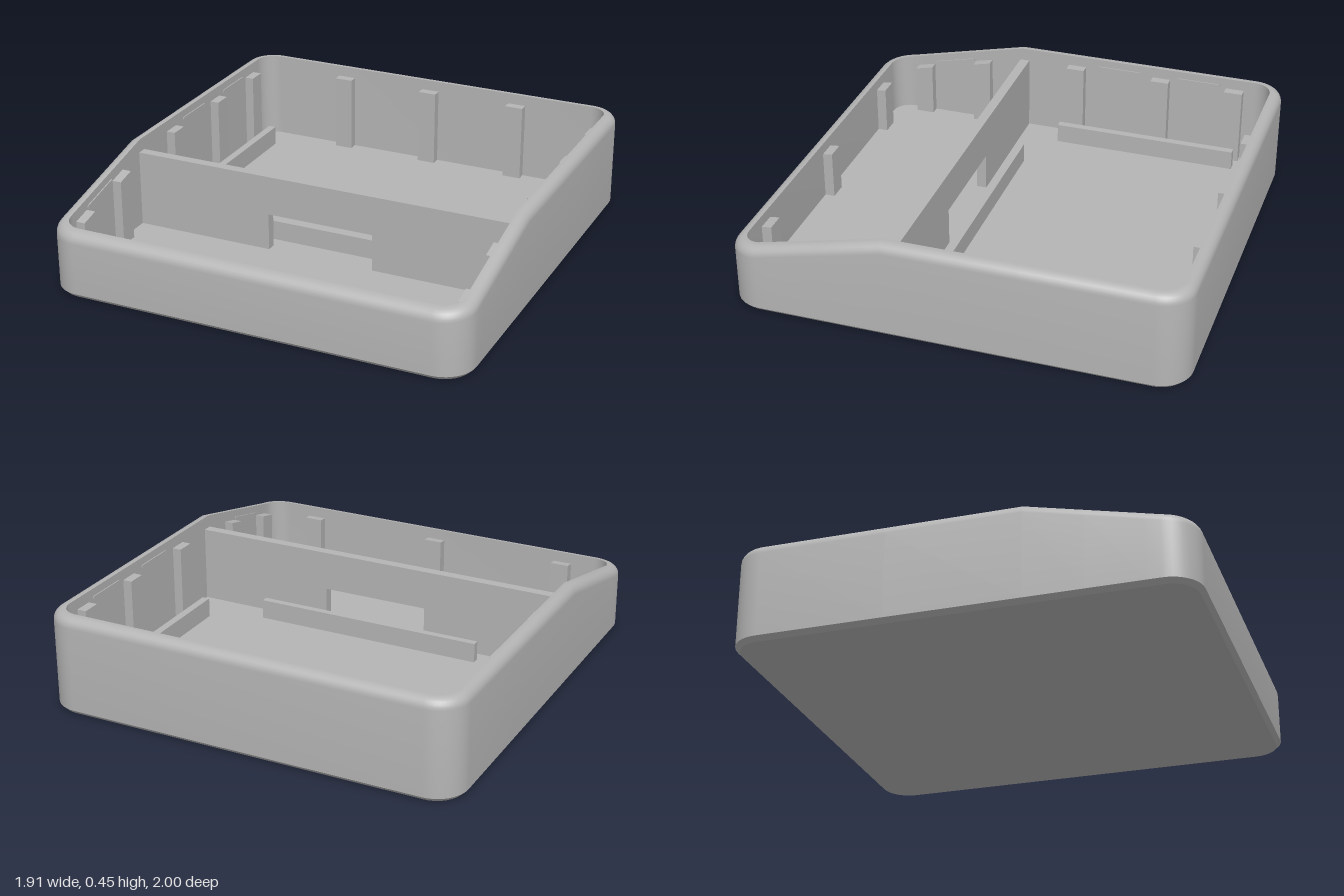
import * as THREE from 'three';
import { toCreasedNormals } from 'three/addons/utils/BufferGeometryUtils.js';

const W = 0.955, D = 1, R = 0.14, WALL = 0.055, FLOOR = 0.04;

// Height of the rim along the case: flat at the back, sloping to a low front lip
function rim(z) {
  if (z < 0.29) return 0.45;
  if (z < 0.87) return 0.45 - (z - 0.29) * 0.233;
  return 0.315 - (z - 0.87) * 0.115;
}

// Rounded rectangle pulled in by an inset, with extra points where the rim bends
function outline(inset) {
  const pts = [], r = R - inset, n = 10;
  const corner = (sx, sz, start) => {
    for (let i = 0; i <= n; i++) {
      const a = start + (i / n) * Math.PI / 2;
      pts.push([sx * (W - R) + r * Math.cos(a), sz * (D - R) + r * Math.sin(a)]);
    }
  };
  const bends = [0.8, 0.55, 0.29, -0.3];
  corner(1, 1, 0);
  corner(-1, 1, Math.PI / 2);
  bends.forEach(z => pts.push([-W + inset, z]));
  corner(-1, -1, Math.PI);
  corner(1, -1, Math.PI * 1.5);
  [...bends].reverse().forEach(z => pts.push([W - inset, z]));
  return pts;
}

// Tray skin: underside, chamfer, outer wall, rounded rim, inner wall, floor
function trayGeometry() {
  const rings = [];
  const add = (inset, height) => rings.push(outline(inset).map(([x, z]) => [x, height(z), z]));
  add(0.02, () => 0);
  add(0, () => 0.02);
  const f = 0.045;
  for (let i = 0; i <= 6; i++) {
    const a = (i / 6) * Math.PI / 2;
    add(f * (1 - Math.cos(a)), z => rim(z) - f * (1 - Math.sin(a)));
  }
  add(WALL, rim);
  add(WALL, () => FLOOR);
  const n = rings[0].length;
  const pos = [], tri = (a, b, c) => pos.push(...a, ...b, ...c);
  for (let k = 0; k < rings.length - 1; k++) {
    for (let i = 0; i < n; i++) {
      const j = (i + 1) % n, lo = rings[k], hi = rings[k + 1];
      tri(lo[i], hi[i], hi[j]);
      tri(lo[i], hi[j], lo[j]);
    }
  }
  const last = rings[rings.length - 1];
  for (let i = 0; i < n; i++) {
    const j = (i + 1) % n;
    tri([0, 0, 0], rings[0][i], rings[0][j]);
    tri([0, FLOOR, 0], last[j], last[i]);
  }
  const g = new THREE.BufferGeometry();
  g.setAttribute('position', new THREE.Float32BufferAttribute(pos, 3));
  return toCreasedNormals(g, 0.6);
}

export function createModel() {
  const group = new THREE.Group();
  const grey = new THREE.MeshStandardMaterial({ color: 0xb4b4b4 });
  grey.name = 'plain grey';

  const mesh = (name, geometry) => {
    const m = new THREE.Mesh(geometry, grey);
    m.name = name;
    group.add(m);
    return m;
  };
  // Box from its bounds; the top may follow the slope of the rim
  const block = (name, x0, x1, y0, y1, z0, z1, topRule) => {
    const g = new THREE.BoxGeometry(x1 - x0, y1 - y0, z1 - z0);
    g.translate((x0 + x1) / 2, (y0 + y1) / 2, (z0 + z1) / 2);
    if (topRule) {
      const p = g.attributes.position;
      for (let i = 0; i < p.count; i++) p.setY(i, topRule(p.getZ(i), p.getY(i) > (y0 + y1) / 2));
      g.computeVertexNormals();
    }
    return mesh(name, g);
  };
  const postTop = (z, top) => (top ? rim(z) - 0.05 : FLOOR);

  mesh('tray', trayGeometry());

  // Cross divider with a doorway down to the floor
  const wall = new THREE.Shape();
  [[-0.9, FLOOR], [-0.25, FLOOR], [-0.25, 0.21], [0.25, 0.21], [0.25, FLOOR], [0.9, FLOOR], [0.9, 0.39], [-0.9, 0.39]]
    .forEach(([x, y], i) => (i ? wall.lineTo(x, y) : wall.moveTo(x, y)));
  const divider = new THREE.ExtrudeGeometry(wall, { depth: 0.045, bevelEnabled: false });
  mesh('divider', divider.translate(0, 0, 0.255));

  // Low ribs on the floor
  block('crossRib', -0.54, 0.54, FLOOR, 0.13, 0.165, 0.197);
  for (const s of [-1, 1]) {
    const x = s * 0.7925;
    block('sideRib', x - 0.0175, x + 0.0175, FLOOR, 0.13, -0.795, 0.068);

    // Support posts along the side walls
    for (const z of [-0.765, -0.408, -0.01 + 0.02, 0.488, 0.79]) {
      const a = s * 0.858, b = s * 0.902;
      block('sidePost', Math.min(a, b), Math.max(a, b), FLOOR, 0.4, z - 0.043, z + 0.043, postTop);
    }
    // Thin snap ridges just under the rim
    for (const z of [-0.59, -0.2, 0.64]) {
      const a = s * 0.895, b = s * 0.902;
      block('snapRidge', Math.min(a, b), Math.max(a, b), 0.4, 0.41, z - 0.1, z + 0.1,
        (zz, top) => rim(zz) - (top ? 0.035 : 0.047));
    }
  }

  // Support posts along the back and front walls
  for (const x of [-0.447, 0, 0.447]) block('backPost', x - 0.043, x + 0.043, FLOOR, 0.4, -0.947, -0.902, postTop);
  for (const x of [-0.657, 0, 0.657]) block('frontPost', x - 0.043, x + 0.043, FLOOR, 0.26, 0.9, 0.947, postTop);

  return group;
}
